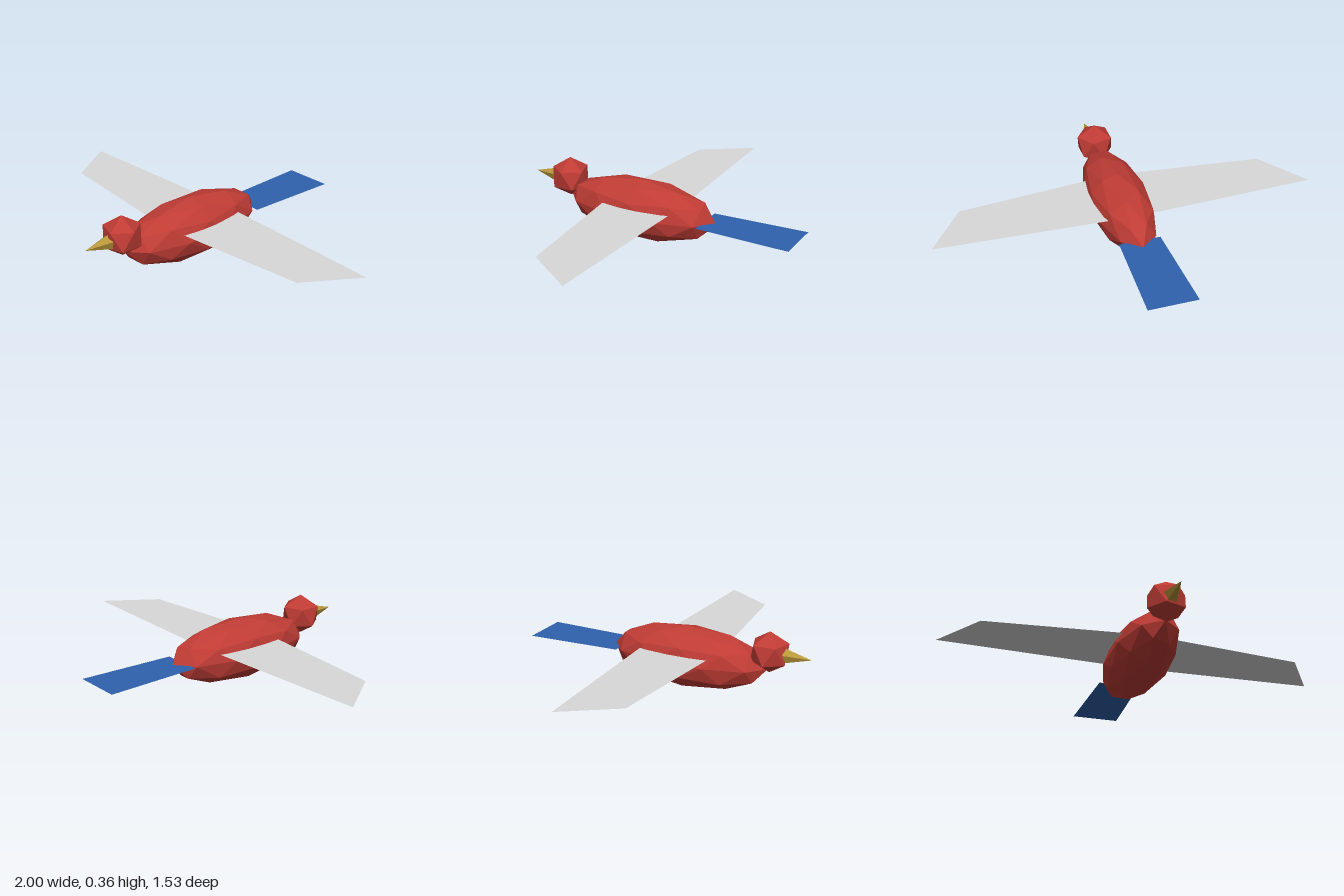
import * as THREE from 'three';

const makeMaterial = (name, color, extra = {}) => {
  const m = new THREE.MeshStandardMaterial({ color, ...extra });
  m.name = name;
  return m;
};

// Faceted ball with one corner pointing straight up
function facetedBall(detail) {
  return new THREE.IcosahedronGeometry(1, detail)
    .rotateX(-Math.atan2(1 + Math.sqrt(5), 2))
    .rotateY(Math.PI / 2);
}

// Flat horizontal panel from [x, z] outline points
function flatPanel(points) {
  const shape = new THREE.Shape(points.map(([x, z]) => new THREE.Vector2(x, -z)));
  return new THREE.ShapeGeometry(shape).rotateX(-Math.PI / 2);
}

export function createModel() {
  const bird = new THREE.Group();
  bird.name = 'bird';

  const red = makeMaterial('red plumage', 0xc03c35, { flatShading: true });
  const grey = makeMaterial('pale grey wing', 0xd9d9d9, { side: THREE.DoubleSide });
  const blue = makeMaterial('blue tail', 0x3062ad, { side: THREE.DoubleSide });
  const gold = makeMaterial('gold beak', 0xb8963a, { flatShading: true });

  const add = (name, geometry, material, x, y, z) => {
    const mesh = new THREE.Mesh(geometry, material);
    mesh.name = name;
    mesh.position.set(x, y, z);
    bird.add(mesh);
    return mesh;
  };

  // Long faceted body and small round head
  add('body', facetedBall(1).scale(0.16, 0.16, 0.43), red, 0, 0.16, 0.11);
  add('head', facetedBall(0).scale(0.107, 0.107, 0.107), red, 0, 0.253, 0.547);

  // Five-sided beak, ridge on top, base sunk into the head
  const beak = new THREE.ConeGeometry(0.046, 0.165, 5)
    .rotateY(Math.PI)
    .rotateX(Math.PI / 2);
  add('beak', beak, gold, 0, 0.246, 0.683);

  // Flat swept wings
  for (const [name, s] of [['leftWing', 1], ['rightWing', -1]]) {
    const outline = [[0, 0.28], [0.82 * s, 0.195], [s, -0.075], [0, -0.115]];
    add(name, flatPanel(outline), grey, 0, 0.204, 0);
  }

  // Flat tail, wider at the end
  const tail = [[-0.108, -0.26], [0.108, -0.26], [0.127, -0.765], [-0.127, -0.765]];
  add('tail', flatPanel(tail), blue, 0, 0.164, 0);

  return bird;
}
